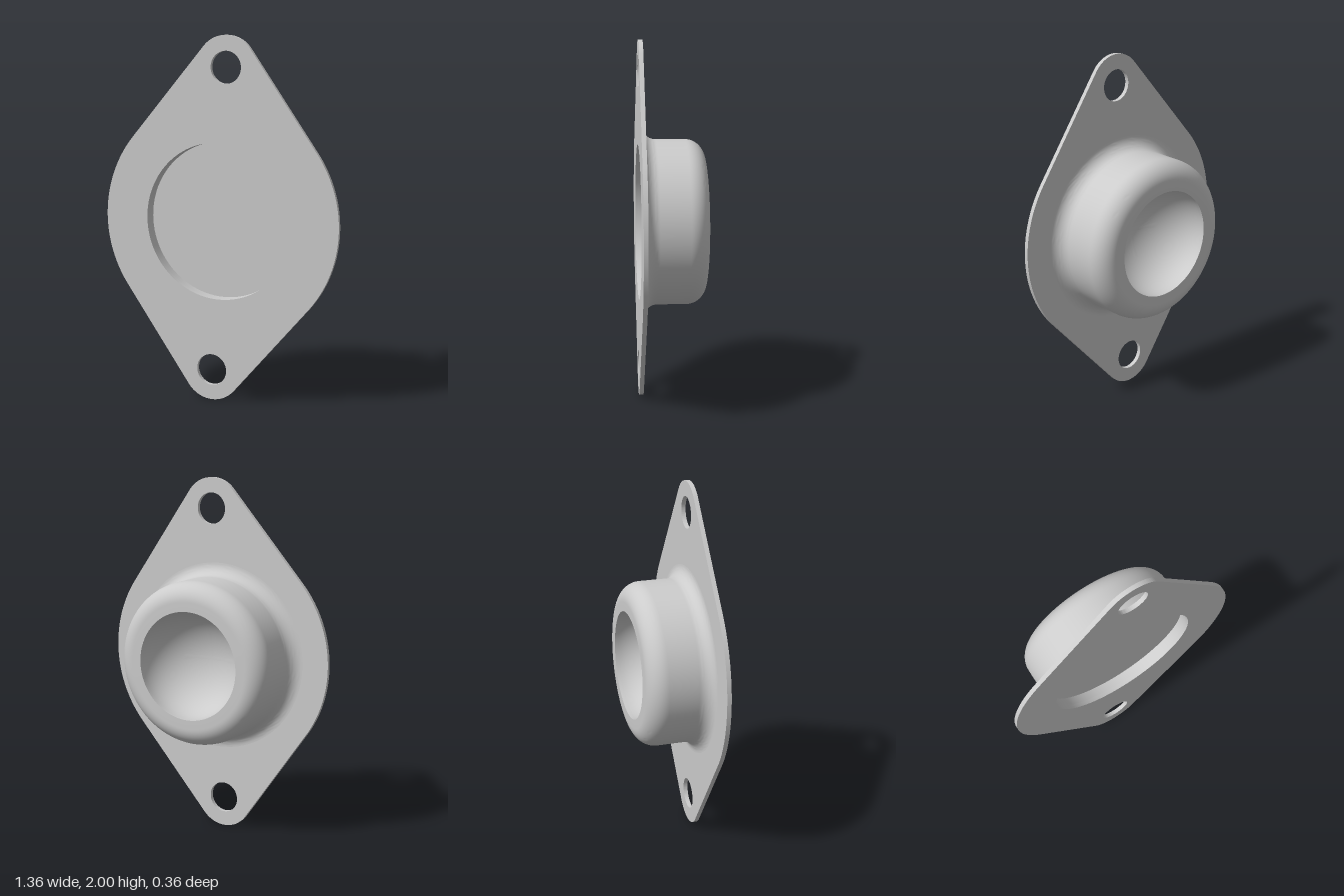
import * as THREE from 'three';
import { toCreasedNormals } from 'three/addons/utils/BufferGeometryUtils.js';

const FRONT = 0.182, PLATE_BACK = 0.158, BACK = -0.182;
const EAR = { x: 0.043, y: 0.83, r: 0.17, hole: 0.087 };
const BODY_R = 0.68, POCKET_R = 0.43;

// Points along a quarter-style arc in (radius, depth) space
function arc(cx, cy, rx, ry, from, to, n = 14) {
  return Array.from({ length: n + 1 }, (_, i) => {
    const a = from + (to - from) * i / n;
    return new THREE.Vector2(Math.max(0, cx + rx * Math.cos(a)), cy + ry * Math.sin(a));
  });
}

function circleHole(x, y, r) {
  const p = new THREE.Path();
  p.absarc(x, y, r, 0, Math.PI * 2, true);
  return p;
}

// Round body joined to two slightly skewed ears by tangent lines
function plateGeometry() {
  const axis = Math.atan2(EAR.y, EAR.x);
  const phi = Math.acos((BODY_R - EAR.r) / Math.hypot(EAR.x, EAR.y));
  const s = new THREE.Shape();
  for (const [sign, turn] of [[1, 0], [-1, Math.PI]]) {
    const a = axis + turn;
    s.absarc(sign * EAR.x, sign * EAR.y, EAR.r, a - phi, a + phi, false);
    s.absarc(0, 0, BODY_R, a + phi, a + Math.PI - phi, false);
    s.holes.push(circleHole(sign * EAR.x, sign * EAR.y, EAR.hole));
  }
  s.holes.push(circleHole(0, 0, POCKET_R));
  const g = new THREE.ExtrudeGeometry(s, { depth: FRONT - PLATE_BACK, bevelEnabled: false, curveSegments: 48 });
  return g.translate(0, 0, PLATE_BACK);
}

// Profile of (radius, depth) turned about the z axis
function turned(points) {
  return new THREE.LatheGeometry(points, 96).rotateX(Math.PI / 2);
}

export function createModel() {
  const model = new THREE.Group();
  const material = new THREE.MeshStandardMaterial({ color: 0xcccccc });
  const add = (name, geometry) => {
    const mesh = new THREE.Mesh(toCreasedNormals(geometry, Math.PI / 6), material);
    mesh.name = name;
    mesh.position.y = 1;
    model.add(mesh);
  };
  const v = (r, z) => new THREE.Vector2(r, z);

  add('mountingFlange', plateGeometry());

  // Housing: thin lip, rounded shoulder, straight wall, flare into the flange
  add('housing', turned([
    v(0.30, BACK + 0.024),
    v(0.30, BACK),
    ...arc(0.352, BACK + 0.105, 0.105, 0.105, -Math.PI / 2, 0),
    ...arc(0.53, PLATE_BACK - 0.073, 0.073, 0.073, Math.PI, Math.PI / 2),
  ]));

  // Concave seat inside the rear opening
  add('socket', turned(arc(0, BACK + 0.024, 0.30, 0.245, Math.PI / 2, 0, 28)));

  // Shallow round recess in the front face
  add('frontPocket', turned([v(POCKET_R, PLATE_BACK), v(POCKET_R, 0.11), v(0, 0.11)]));

  return model;
}
